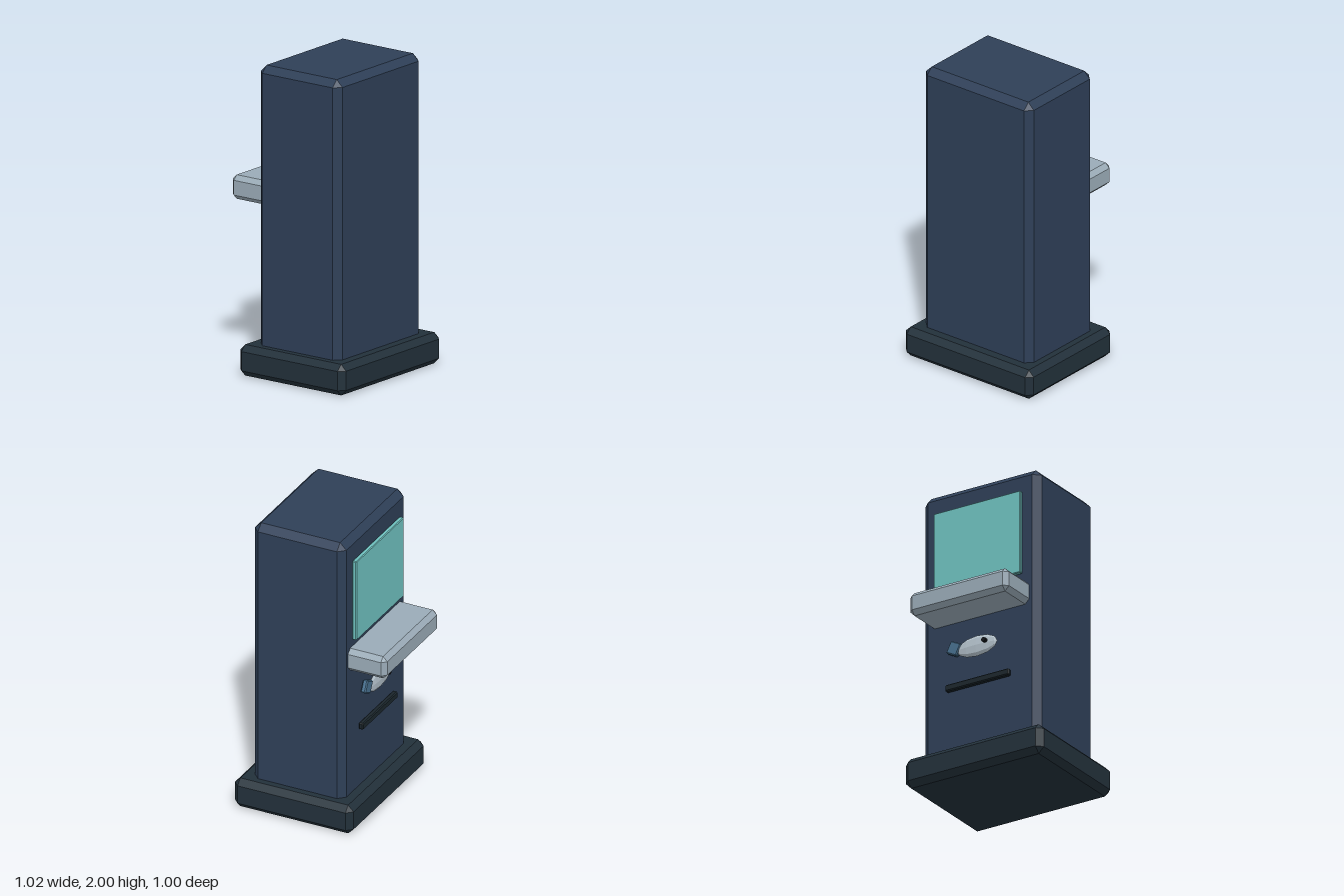
import * as THREE from 'three';
import { ConvexGeometry } from 'three/addons/geometries/ConvexGeometry.js';

function paint(color) {
  return new THREE.MeshStandardMaterial({ color, flatShading: true });
}

// Box with every edge chamfered by c, given by its min and max corners
function chamferBox(name, min, max, c, color) {
  const half = min.map((v, i) => (max[i] - v) / 2);
  const points = [];
  for (const sx of [-1, 1]) for (const sy of [-1, 1]) for (const sz of [-1, 1]) {
    const s = [sx, sy, sz];
    // each corner becomes three points, one on each adjoining face
    for (let face = 0; face < 3; face++) {
      points.push(new THREE.Vector3(...s.map((v, i) => v * (half[i] - (i === face ? 0 : c)))));
    }
  }
  const mesh = new THREE.Mesh(new ConvexGeometry(points), paint(color));
  mesh.name = name;
  mesh.position.set(...min.map((v, i) => (v + max[i]) / 2));
  return mesh;
}

// Small fish ornament: faceted body, square tail and a peg eye
function createFish() {
  const fish = new THREE.Group();
  fish.name = 'fishOrnament';

  const bodyGeo = new THREE.SphereGeometry(1, 8, 6);
  bodyGeo.rotateZ(Math.PI / 2);
  bodyGeo.scale(0.15, 0.07, 0.019);
  const body = new THREE.Mesh(bodyGeo, paint(0xb4c2cc));
  body.name = 'fishBody';
  body.position.set(0, 0.867, -0.272);

  const tail = chamferBox('fishTail', [0.125, 0.845, -0.287], [0.21, 0.93, -0.253], 0.007, 0x47708f);
  tail.rotation.z = 0.47;

  const eye = new THREE.Mesh(new THREE.CylinderGeometry(0.015, 0.015, 0.03, 10), paint(0x14181c));
  eye.name = 'fishEye';
  eye.rotation.x = Math.PI / 2;
  eye.position.set(-0.07, 0.88, -0.297);

  fish.add(body, tail, eye);
  return fish;
}

export function createModel() {
  const model = new THREE.Group();
  model.name = 'kiosk';
  model.add(
    chamferBox('base', [-0.51, 0, -0.335], [0.51, 0.2, 0.495], 0.038, 0x22303a),
    chamferBox('cabinet', [-0.43, 0.1, -0.24], [0.43, 2, 0.4], 0.044, 0x2e3f57),
    chamferBox('screen', [-0.32, 1.29, -0.276], [0.32, 1.85, -0.246], 0.005, 0x6fc2c0),
    chamferBox('shelf', [-0.365, 1.08, -0.5], [0.365, 1.235, -0.16], 0.03, 0x9aabb7),
    chamferBox('slot', [-0.235, 0.61, -0.279], [0.235, 0.655, -0.245], 0.007, 0x1b262c),
    createFish()
  );
  return model;
}
